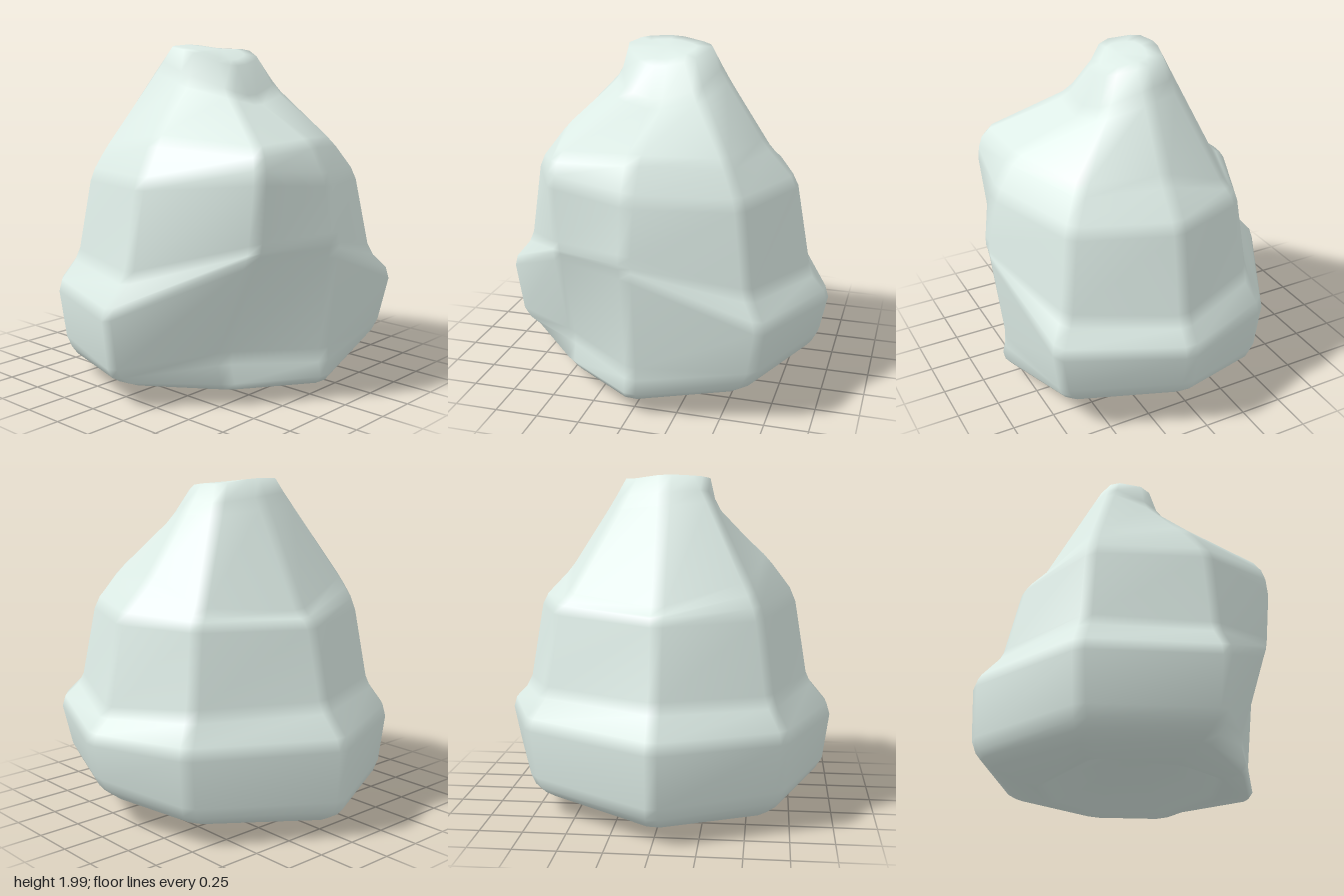
import * as THREE from 'three';

// Common ridge profile, underside rim to crown: [scale along direction, height]
const PROFILE = [[0.57, 0.04], [0.87, 0.12], [0.95, 0.2], [1, 0.56], [0.87, 0.74], [0.78, 1.23], [0.65, 1.42], [0.34, 1.82], [0.26, 1.96]];
const BEVEL = 0.04;

// A ridge: outward direction (x, z), with the profile levels where it differs
// given as [scale, height, optional sideways x shift]
function ridge(x, z, changes) {
  return PROFILE.map((level, i) => {
    const [s, y, shift = 0] = changes[i] ?? level;
    return new THREE.Vector3(x * s + shift, y, z * s);
  });
}

// Cut every corner of a point list into two points, giving a narrow bevel
function cutCorners(points, closed) {
  const n = points.length;
  const out = [];
  points.forEach((p, i) => {
    if (!closed && (i === 0 || i === n - 1)) {
      out.push(p);
      return;
    }
    for (const q of [points[(i + n - 1) % n], points[(i + 1) % n]]) {
      out.push(p.clone().lerp(q, Math.min(0.3, BEVEL / p.distanceTo(q))));
    }
  });
  return out;
}

function rockGeometry() {
  const front = ridge(0.12, 1.015, { 1: [0.82, 0.12], 4: [0.85, 0.74, 0.04], 5: [0.765, 1.26, 0.06], 6: [0.6, 1.48, 0.03], 7: [0.29, 1.79] });
  // Undercut at the foot, with a high ledge
  const frontLeft = ridge(0.78, 0.485, {
    0: [0.7, 0.08, -0.08], 1: [0.97, 0.095, -0.21], 2: [0.97, 0.28, -0.26], 3: [0.97, 0.87, -0.05],
    4: [0.97, 0.92, -0.03], 5: [0.99, 1.32], 6: [0.95, 1.46], 7: [0.4, 1.71], 8: [0.24, 1.88],
  });
  const left = ridge(0.935, 0, {
    0: [0.65, 0.07], 1: [0.94, 0.1], 2: [0.905, 0.26], 3: [0.97, 0.88],
    4: [0.99, 0.95], 5: [0.915, 1.27], 6: [0.79, 1.47], 7: [0.34, 1.66], 8: [0.24, 1.87],
  });
  const backLeft = ridge(0.82, -0.735, { 1: [0.82, 0.15], 2: [0.93, 0.28], 3: [1, 0.6], 7: [0.35, 1.73], 8: [0.24, 1.91] });
  const back = ridge(0.11, -1.015, { 1: [0.86, 0.19], 2: [0.94, 0.28], 4: [0.875, 0.69], 6: [0.59, 1.43] });
  const backRight = ridge(-0.495, -0.79, { 6: [0.71, 1.28] });
  const right = ridge(-0.945, 0, {
    0: [0.58, 0], 1: [0.9, 0.09], 2: [0.985, 0.18], 4: [0.83, 0.74],
    5: [0.71, 1.21], 6: [0.63, 1.23], 7: [0.28, 1.85], 8: [0.2, 1.99],
  });
  const frontRight = ridge(-0.63, 0.735, { 0: [0.7, 0.03], 1: [0.87, 0.09], 6: [0.7, 1.37], 7: [0.36, 1.87], 8: [0.28, 1.98] });

  // Bevel along each ridge, then around each ring
  const columns = [front, frontLeft, left, backLeft, back, backRight, right, frontRight].map((c) => cutCorners(c, false));
  const rings = columns[0].map((_, i) => cutCorners(columns.map((c) => c[i]), true));

  // Hollow under the rock and a rounded crown
  const hollow = new THREE.Vector3(0.1, 0.3, 0.04);
  const crown = new THREE.Vector3(0.05, 1.96, 0);
  rings.unshift(rings[0].map((p) => p.clone().lerp(hollow, 0.1)));
  rings.push(rings[rings.length - 1].map((p) => p.clone().lerp(crown, 0.35)));

  const n = rings[0].length;
  const points = [...rings.flat(), hollow, crown];
  const bottom = points.length - 2;
  const top = points.length - 1;
  const last = (rings.length - 1) * n;
  const index = [];
  for (let j = 0; j < n; j++) {
    const k = (j + 1) % n;
    for (let i = 0; i < rings.length - 1; i++) {
      const a = i * n + j, b = i * n + k;
      index.push(a, b, b + n, a, b + n, a + n);
    }
    index.push(bottom, k, j, top, last + j, last + k);
  }

  const geometry = new THREE.BufferGeometry().setFromPoints(points);
  geometry.setIndex(index);
  geometry.computeVertexNormals();
  return geometry;
}

export function createModel() {
  const group = new THREE.Group();
  group.name = 'boulder';
  const rock = new THREE.Mesh(rockGeometry(), new THREE.MeshStandardMaterial({ color: 0xdcebe5 }));
  rock.name = 'rock';
  group.add(rock);
  return group;
}
